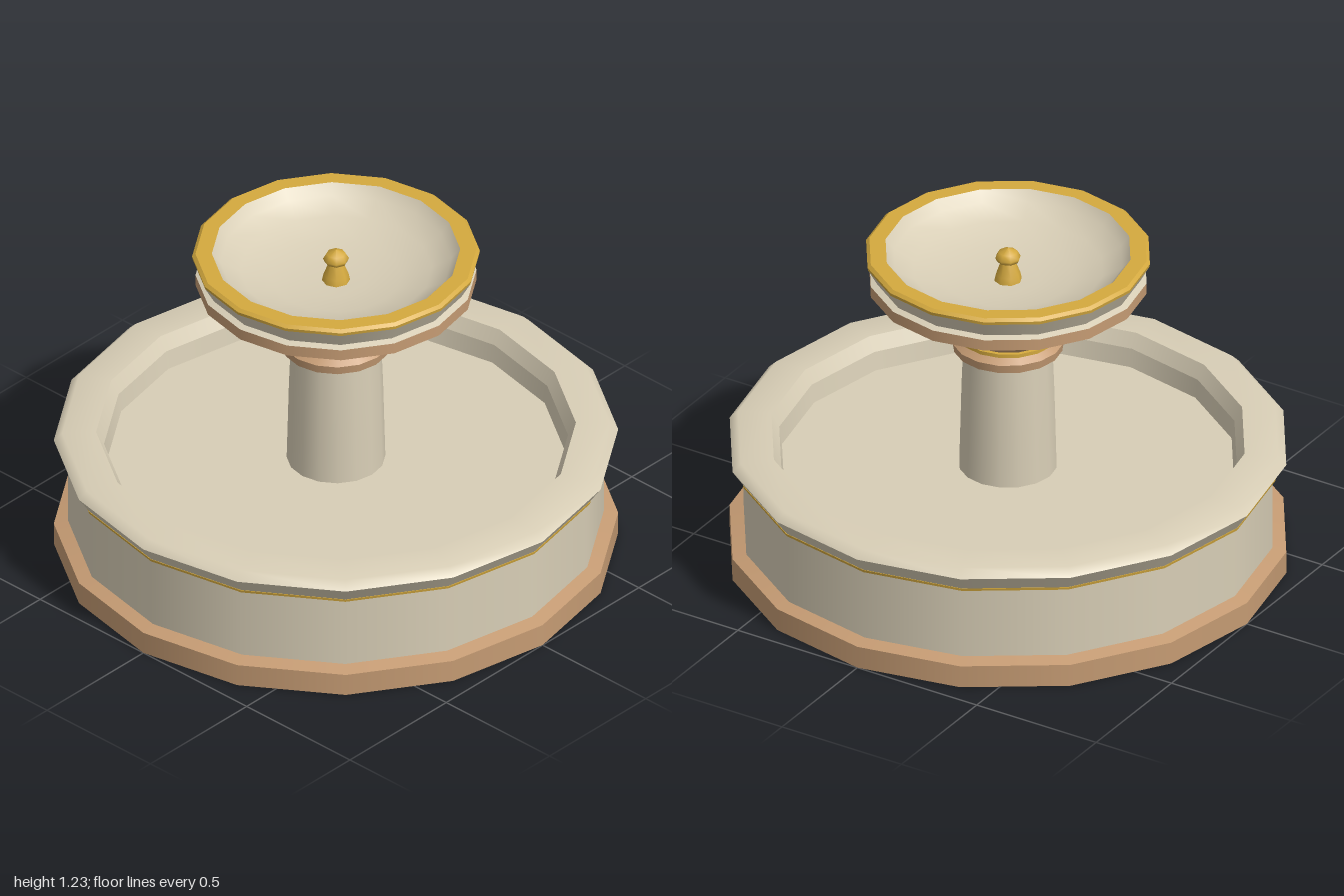
import * as THREE from 'three';
import { mergeGeometries } from 'three/addons/utils/BufferGeometryUtils.js';

const SIDES = 16;

// Lathe of one profile, listed from the underside outward, up and back in.
function smoothLathe(points, sides) {
  return new THREE.LatheGeometry(points.map(([r, y]) => new THREE.Vector2(r, y)), sides);
}

// Lathe with a hard edge at every profile point, smooth around the axis.
function creasedLathe(points, sides) {
  const bands = points.slice(1).map((p, i) => smoothLathe([points[i], p], sides));
  return mergeGeometries(bands);
}

export function createModel() {
  const mat = (name, color) => {
    const m = new THREE.MeshStandardMaterial({ color });
    m.name = name;
    return m;
  };
  const stone = mat('pale stone', 0xd8ceb6);
  const sandstone = mat('sandstone', 0xc59b73);
  const gold = mat('gold', 0xd4a93e);

  const fountain = new THREE.Group();
  fountain.name = 'fountain';
  const add = (name, material, geometry) => {
    const mesh = new THREE.Mesh(geometry, material);
    mesh.name = name;
    fountain.add(mesh);
  };
  const hard = (name, material, points, sides = SIDES) => add(name, material, creasedLathe(points, sides));
  const soft = (name, material, points, sides = SIDES) => add(name, material, smoothLathe(points, sides));

  // Lower basin
  hard('basePlinth', sandstone, [[0, 0], [1, 0], [1, 0.085], [0.945, 0.1]]);
  hard('basinWall', stone, [[0.95, 0.09], [0.95, 0.37]]);
  hard('basinTrim', gold, [[0.945, 0.368], [0.96, 0.37], [0.962, 0.38], [0.945, 0.382]]);
  hard('rimUnderside', stone, [[0.945, 0.378], [0.96, 0.38], [1, 0.44]]);
  soft('rimTop', stone, [[1, 0.44], [0.97, 0.47], [0.85, 0.472]]);
  hard('basinInside', stone, [[0.85, 0.472], [0.822, 0.42], [0.812, 0.35]]);
  hard('basinFloor', stone, [[0.815, 0.35], [0, 0.35]]);

  // Column and its collar
  soft('column', stone, [[0.175, 0.35], [0.171, 0.5], [0.167, 0.66], [0.16, 0.84]]);
  hard('collar', sandstone, [[0.15, 0.828], [0.195, 0.828], [0.2, 0.86], [0.172, 0.882]]);
  hard('collarRing', gold, [[0.165, 0.88], [0.182, 0.882], [0.182, 0.896], [0.165, 0.898]]);
  hard('collarFlare', sandstone, [[0.168, 0.895], [0.178, 0.905], [0.215, 0.945]]);

  // Upper bowl
  hard('bowlUnderside', stone, [[0.15, 0.942], [0.22, 0.942], [0.34, 1.005]]);
  hard('bowlFlare', sandstone, [[0.34, 1.005], [0.498, 1.09], [0.498, 1.132]]);
  hard('bowlNeck', stone, [[0.498, 1.132], [0.475, 1.14], [0.508, 1.2]]);
  hard('bowlRim', gold, [[0.508, 1.2], [0.51, 1.212], [0.498, 1.222], [0.44, 1.222]]);
  soft('bowlInside', stone, [[0.44, 1.222], [0.41, 1.185], [0.34, 1.145], [0.23, 1.115], [0.11, 1.102], [0, 1.1]]);

  // Finial at the centre of the bowl
  soft('finialStem', gold, [[0.05, 1.1], [0.045, 1.125], [0.024, 1.18]], 8);
  soft('finialBead', gold, [[0.015, 1.165], [0.04, 1.178], [0.046, 1.192], [0.034, 1.213], [0, 1.228]], 8);

  return fountain;
}
